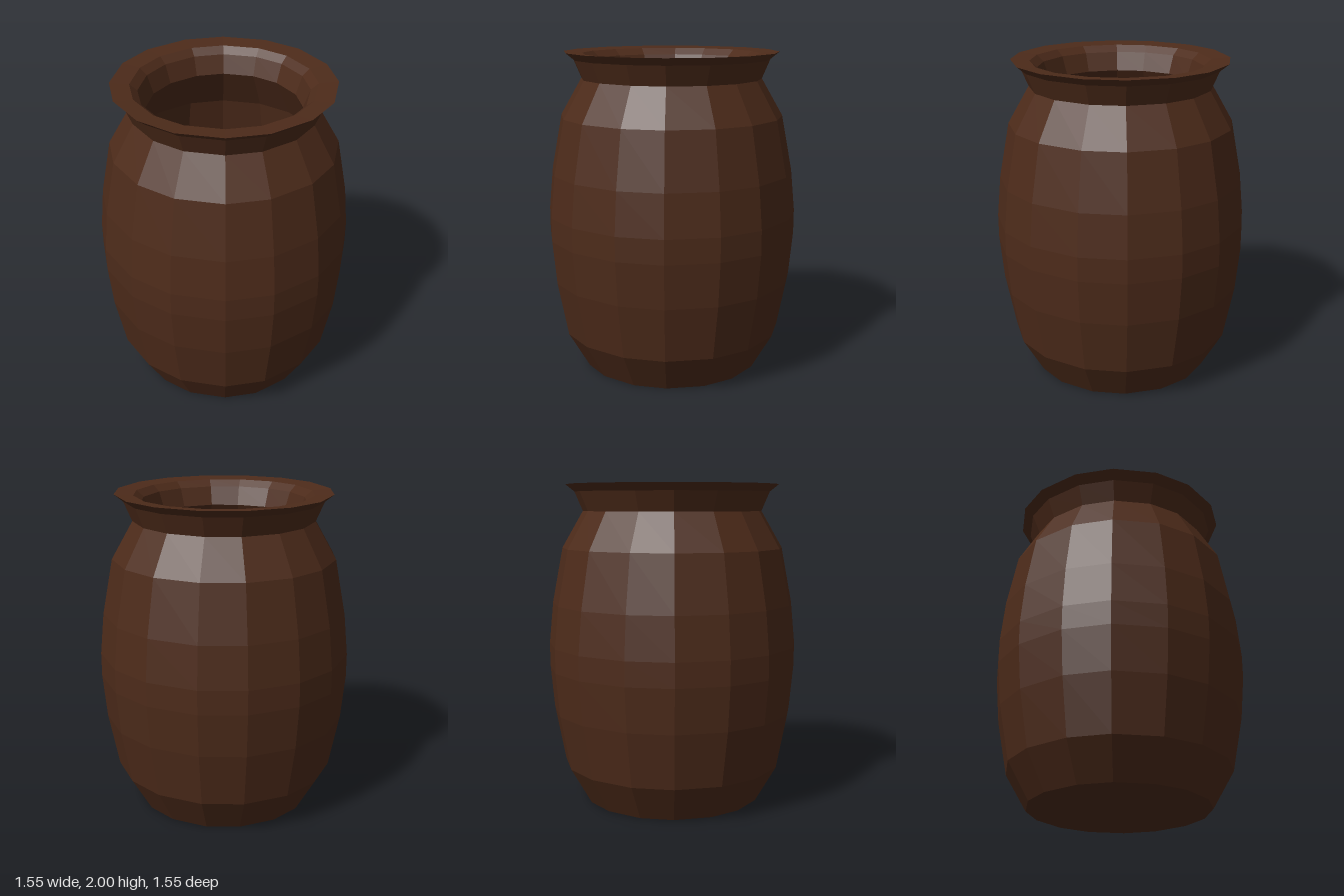
import * as THREE from 'three';

const SIDES = 16;
const material = new THREE.MeshStandardMaterial({ color: 0x4d2b1a, flatShading: true });

// Turns a profile of [half width, height] points into a sixteen-sided part,
// with slightly alternating side widths for a hand-made look.
function turned(name, profile) {
  const step = (Math.PI * 2) / SIDES;
  const points = profile.map(([w, y]) => new THREE.Vector2(w / 0.983, y));
  const geometry = new THREE.LatheGeometry(points, SIDES, step / 2);
  const pos = geometry.attributes.position;
  for (let i = 0; i < pos.count; i++) {
    const r = Math.hypot(pos.getX(i), pos.getZ(i));
    const column = Math.floor(i / points.length);
    const angle = (column + 0.5) * step + (column % 2 ? 0.012 : -0.012);
    pos.setX(i, r * Math.sin(angle));
    pos.setZ(i, r * Math.cos(angle));
  }
  geometry.computeVertexNormals();
  const mesh = new THREE.Mesh(geometry, material);
  mesh.name = name;
  return mesh;
}

export function createModel() {
  const jar = new THREE.Group();
  jar.name = 'jar';

  // Bulging outer wall with a closed base
  jar.add(turned('body', [
    [0, 0], [0.555, 0], [0.685, 0.23], [0.75, 0.575], [0.775, 0.85],
    [0.775, 1.0], [0.75, 1.26], [0.685, 1.605], [0.555, 1.835],
  ]));

  // Flared neck, overhanging lip and the inside of the mouth
  jar.add(turned('neckAndRim', [
    [0.555, 1.835], [0.605, 1.955], [0.66, 2.0], [0.545, 1.99], [0.5, 1.95], [0.46, 1.835],
  ]));

  // Hollow inside, following the outer wall down to a flat floor
  jar.add(turned('interior', [
    [0.46, 1.835], [0.59, 1.58], [0.655, 1.25], [0.68, 1.0], [0.68, 0.85],
    [0.655, 0.58], [0.59, 0.27], [0.48, 0.08], [0, 0.08],
  ]));

  return jar;
}
